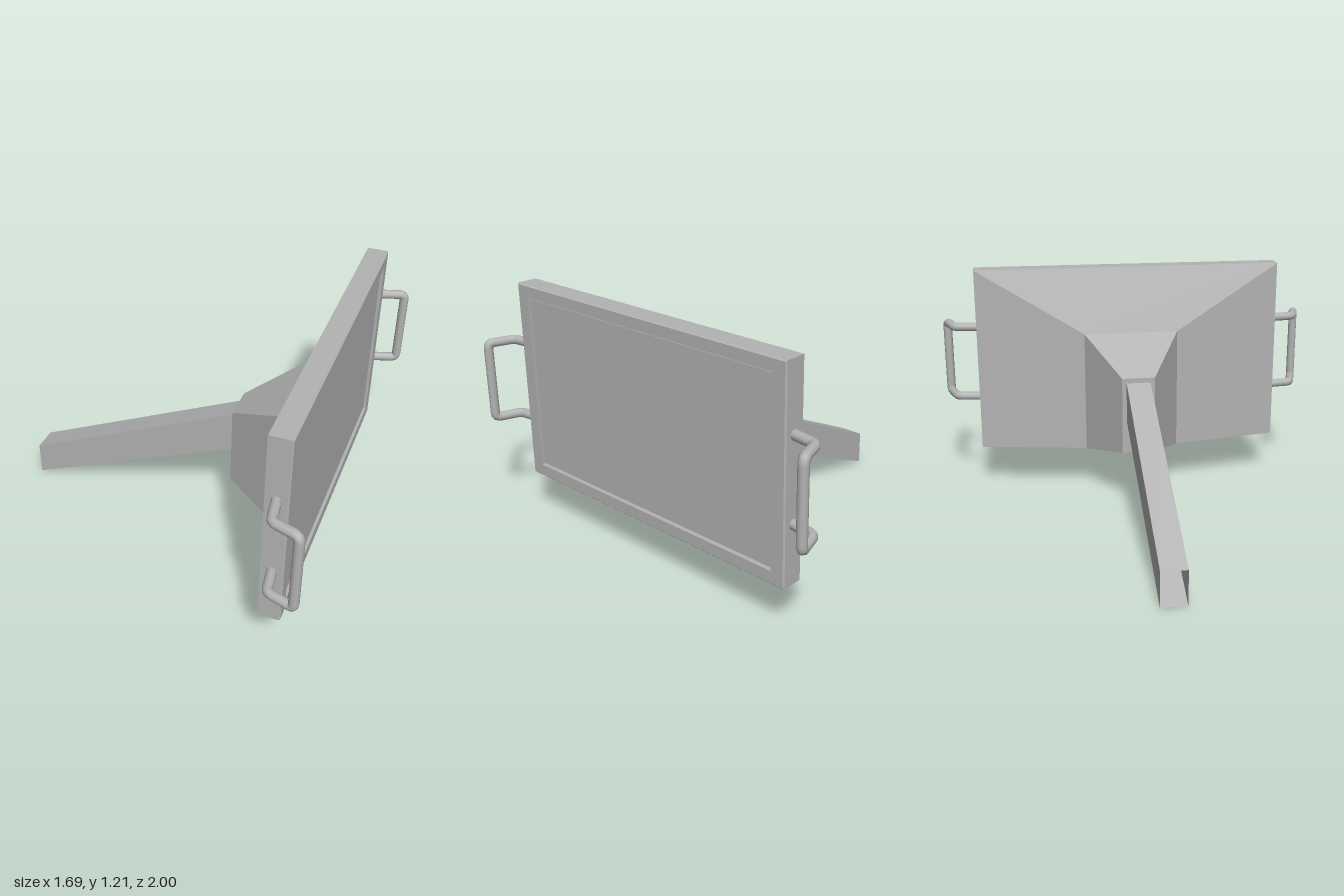
import * as THREE from 'three';

// Skins rectangular sections [x, yBottom, yTop, halfDepth] along x with flat faces.
function loft(sections, capStart, capEnd) {
  const rings = sections.map(([x, y0, y1, h]) => [
    [x, y0, -h], [x, y1, -h], [x, y1, h], [x, y0, h],
  ]);
  const pos = [];
  const quad = (a, b, c, d) => pos.push(...a, ...b, ...c, ...a, ...c, ...d);
  for (let i = 0; i < rings.length - 1; i++) {
    for (let j = 0; j < 4; j++) {
      const k = (j + 1) % 4;
      quad(rings[i][j], rings[i][k], rings[i + 1][k], rings[i + 1][j]);
    }
  }
  if (capStart) quad(...[...rings[0]].reverse());
  if (capEnd) quad(...rings[rings.length - 1]);
  const geo = new THREE.BufferGeometry();
  geo.setAttribute('position', new THREE.Float32BufferAttribute(pos, 3));
  geo.computeVertexNormals();
  return geo;
}

// Straight runs joined by short bends at every inner point.
function bentPath(points, bend) {
  const path = new THREE.CurvePath();
  let from = points[0];
  for (let i = 1; i < points.length - 1; i++) {
    const p = points[i];
    const toward = (q) => p.clone().add(q.clone().sub(p).setLength(bend));
    const a = toward(points[i - 1]), b = toward(points[i + 1]);
    path.add(new THREE.LineCurve3(from, a));
    path.add(new THREE.QuadraticBezierCurve3(a, p, b));
    from = b;
  }
  path.add(new THREE.LineCurve3(from, points[points.length - 1]));
  return path;
}

export function createModel() {
  const group = new THREE.Group();
  const grey = new THREE.MeshStandardMaterial({ color: 0xb3b3b3, side: THREE.DoubleSide });
  grey.name = 'grey';
  const add = (name, geo) => {
    const mesh = new THREE.Mesh(geo, grey);
    mesh.name = name;
    group.add(mesh);
    return mesh;
  };

  // Hollow sloping arm, open at its lower end
  add('arm', loft([[-0.85, 0.0, 0.172, 0.062], [0.25, 0.475, 0.682, 0.062]], false, false));

  // Flared neck between arm and housing
  add('neck', loft([[0.245, 0.3, 0.705, 0.085], [0.53, 0.232, 0.875, 0.25]], true, false));

  // Tapered housing, rim, bezel and the recess for the screen
  add('housing', loft([
    [0.53, 0.232, 0.875, 0.25],
    [0.63, 0.232, 1.212, 0.817],
    [0.727, 0.232, 1.212, 0.817],
    [0.733, 0.238, 1.206, 0.811],
    [0.733, 0.293, 1.152, 0.747],
    [0.712, 0.293, 1.152, 0.747],
  ], true, true));

  // Screen plate with a narrow gap around it
  const screen = add('screen', new THREE.BoxGeometry(0.008, 0.843, 1.478));
  screen.position.set(0.716, 0.7225, 0);

  // Bent grab handles on both sides
  const bottom = 0.513, top = 0.9;
  for (const [side, name] of [[1, 'leftHandle'], [-1, 'rightHandle']]) {
    const half = (y) => [[0.678, 0.8], [0.697, 0.935], [0.822, 0.976]]
      .map(([x, z]) => new THREE.Vector3(x, y, z * side));
    const path = bentPath([...half(bottom), ...half(top).reverse()], 0.025);
    add(name, new THREE.TubeGeometry(path, 80, 0.023, 10, false));
  }

  return group;
}
